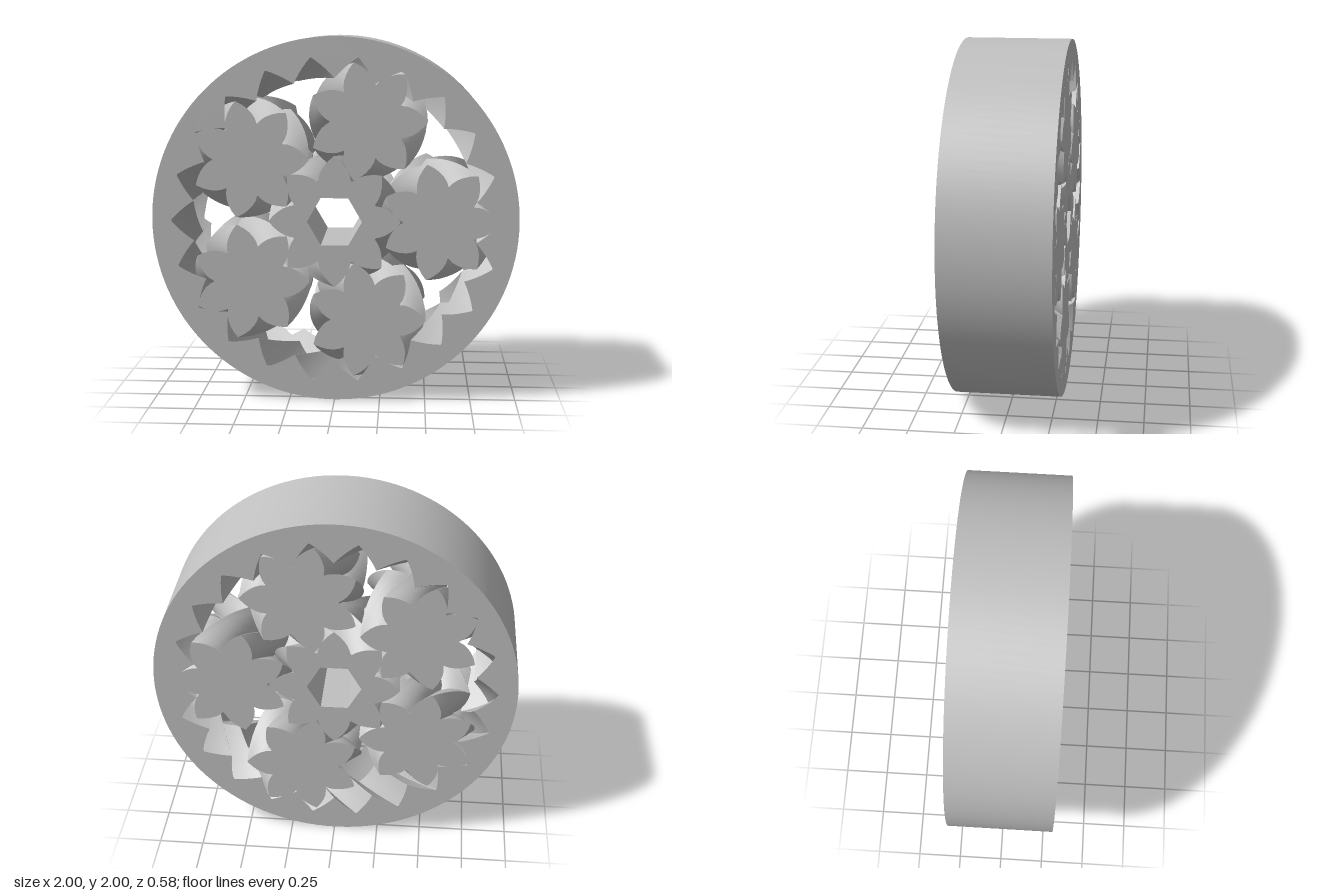
import * as THREE from 'three';
import { mergeGeometries, toCreasedNormals } from 'three/addons/utils/BufferGeometryUtils.js';

const H = 0.29;                          // half thickness
const PLANETS = 5, NP = 7, NS = 8, NR = 22; // planet count and tooth counts
const RING_PITCH = 0.84;                 // pitch radius of the ring
const PITCH = 2 * Math.PI * RING_PITCH / NR;
const HEX = 0.15;

// Involute gear outline (45 degree pressure angle), counter-clockwise
function gearOutline(n, swell = 0) {
  const rp = n * PITCH / (2 * Math.PI);
  const base = rp * Math.SQRT1_2;
  const inv = a => Math.tan(a) - a;
  const half = r => Math.PI / (2 * n) + inv(Math.PI / 4) - inv(Math.acos(Math.min(1, base / r))) + swell / r;
  const root = (rp - PITCH / 4) * Math.cos(Math.PI / (2 * n));
  let tip = rp + PITCH / 4;
  while (half(tip) < 0.004) tip -= 0.0003;
  const pts = [];
  const add = (r, a) => pts.push(new THREE.Vector2(r * Math.cos(a), r * Math.sin(a)));
  const steps = 5;
  for (let i = 0; i < n; i++) {
    const c = i * 2 * Math.PI / n;
    for (let k = 0; k <= steps; k++) {
      const r = root + (tip - root) * k / steps;
      add(r, c - half(r));
    }
    for (let k = steps; k >= 0; k--) {
      const r = root + (tip - root) * k / steps;
      add(r, c + half(r));
    }
  }
  return pts;
}

function circleOutline(r, n) {
  return Array.from({ length: n }, (_, i) => {
    const a = i * 2 * Math.PI / n;
    return new THREE.Vector2(r * Math.cos(a), r * Math.sin(a));
  });
}

// Side wall swept along z; twist is the turn from the middle to either face
function wall(outline, twist, inward = false) {
  const layers = twist ? 16 : 1, n = outline.length;
  const pos = [], idx = [];
  for (let k = 0; k <= layers; k++) {
    const z = -H + 2 * H * k / layers;
    const a = twist * Math.abs(z) / H, c = Math.cos(a), s = Math.sin(a);
    for (const p of outline) pos.push(p.x * c - p.y * s, p.x * s + p.y * c, z);
  }
  for (let k = 0; k < layers; k++) {
    for (let i = 0; i < n; i++) {
      const j = (i + 1) % n;
      const a = k * n + i, b = k * n + j, c = b + n, d = a + n;
      if (inward) idx.push(a, c, b, a, d, c);
      else idx.push(a, b, c, a, c, d);
    }
  }
  const g = new THREE.BufferGeometry();
  g.setAttribute('position', new THREE.Float32BufferAttribute(pos, 3));
  g.setIndex(idx);
  return toCreasedNormals(g, 0.5);
}

// Flat front and back faces, with an optional hole
function caps(outline, hole) {
  const shape = new THREE.Shape(outline);
  if (hole) shape.holes.push(new THREE.Path(hole));
  const make = z => {
    const g = new THREE.ShapeGeometry(shape).toNonIndexed();
    g.deleteAttribute('uv');
    return g.translate(0, 0, z);
  };
  const front = make(H), back = make(-H);
  const p = back.attributes.position, v1 = new THREE.Vector3(), v2 = new THREE.Vector3();
  for (let i = 0; i < p.count; i += 3) { // reverse the winding
    v1.fromBufferAttribute(p, i + 1);
    v2.fromBufferAttribute(p, i + 2);
    p.setXYZ(i + 1, v2.x, v2.y, v2.z);
    p.setXYZ(i + 2, v1.x, v1.y, v1.z);
  }
  back.computeVertexNormals();
  return [front, back];
}

export function createModel() {
  const model = new THREE.Group();
  model.name = 'planetaryGearBearing';
  const grey = new THREE.MeshStandardMaterial({ color: 0xc0c0c0 });
  grey.name = 'grey';

  const body = new THREE.Group();
  body.name = 'gearSet';
  body.position.y = 1;
  model.add(body);
  const add = (name, parts) => {
    const mesh = new THREE.Mesh(mergeGeometries(parts), grey);
    mesh.name = name;
    body.add(mesh);
    return mesh;
  };

  // Outer ring with internal herringbone teeth
  const rim = circleOutline(1, 128), ringTeeth = gearOutline(NR);
  add('outerRing', [
    wall(rim, 0),
    wall(ringTeeth, -2 * Math.PI / NR, true),
    ...caps(rim, ringTeeth),
  ]);

  // Sun gear with a hexagonal socket
  const sunTeeth = gearOutline(NS), hex = circleOutline(HEX, 6);
  add('sunGear', [
    wall(sunTeeth, 2 * Math.PI / NS),
    wall(hex, 0, true),
    ...caps(sunTeeth, hex),
  ]);

  // Planet gears, each turned to mesh with sun and ring
  const planetTeeth = gearOutline(NP, 0.003);
  const planetParts = [wall(planetTeeth, -2 * Math.PI / NP), ...caps(planetTeeth)];
  const orbit = RING_PITCH * (NS + NP) / NR;
  for (let i = 0; i < PLANETS; i++) {
    const a = i * 2 * Math.PI / PLANETS;
    const planet = add('planetGear' + (i + 1), planetParts);
    planet.position.set(orbit * Math.cos(a), orbit * Math.sin(a), 0);
    planet.rotation.z = a + i * NS / PLANETS * 2 * Math.PI / NP;
  }
  return model;
}
